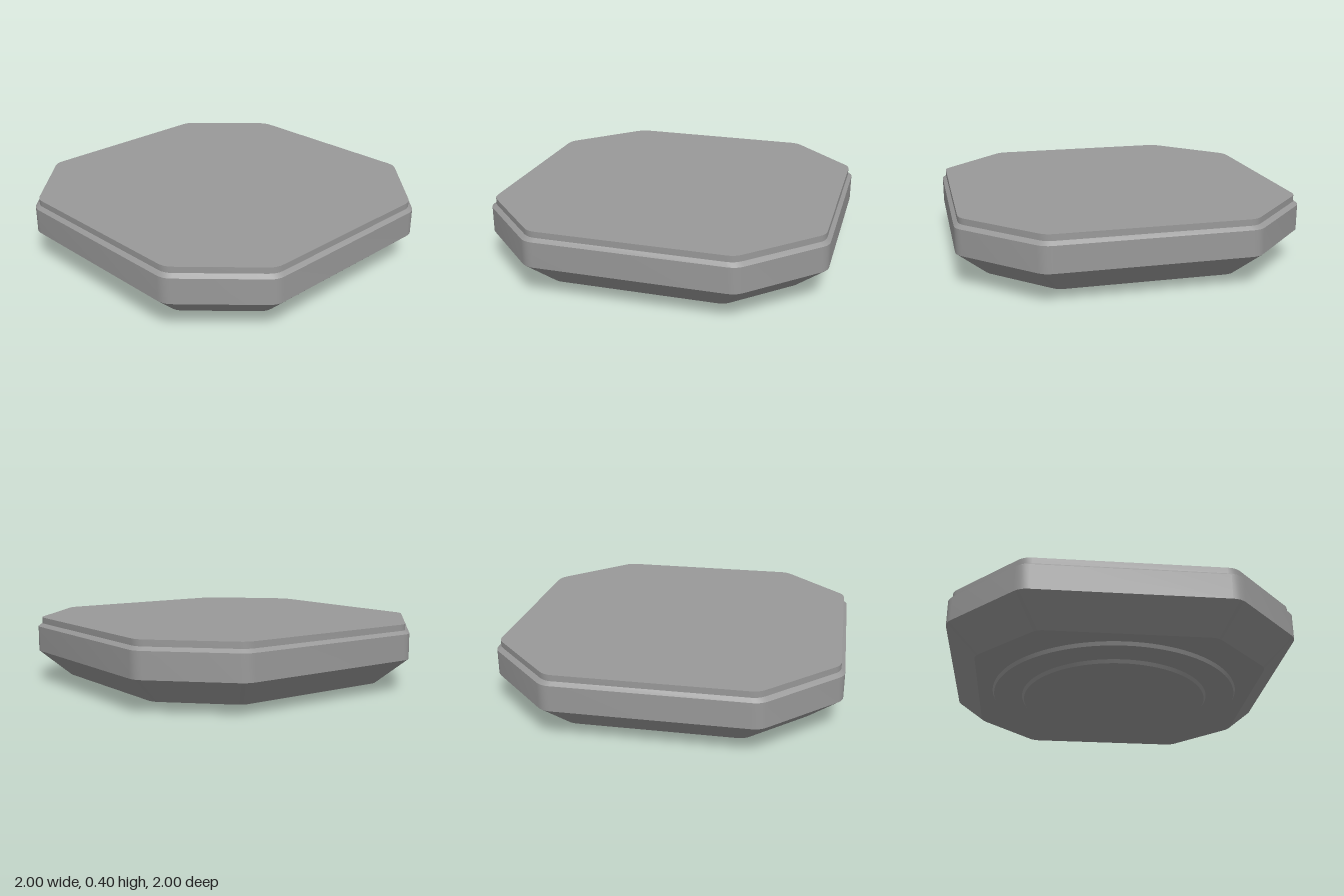
import * as THREE from 'three';
import { toCreasedNormals } from 'three/addons/utils/BufferGeometryUtils.js';

// Octagon outline in x/z with softly rounded corners
function outline(cut = 0.585, round = 0.045, steps = 4) {
  const corners = [[1, -cut], [1, cut], [cut, 1], [-cut, 1], [-1, cut], [-1, -cut], [-cut, -1], [cut, -1]]
    .map(([x, z]) => new THREE.Vector2(x, z));
  const points = [];
  corners.forEach((c, i) => {
    const toward = (o) => c.clone().add(o.clone().sub(c).setLength(round));
    const before = toward(corners[(i + 7) % 8]);
    const after = toward(corners[(i + 1) % 8]);
    points.push(...new THREE.QuadraticBezierCurve(before, c, after).getPoints(steps));
  });
  return points;
}

// Loft the outline through [scale, height] steps; scale 0 closes an end
function loft(profile) {
  const ring = outline();
  const pos = [];
  const put = (p, [s, y]) => pos.push(p.x * s, y, p.y * s);
  for (let k = 0; k < profile.length - 1; k++) {
    const lo = profile[k], hi = profile[k + 1];
    ring.forEach((a, i) => {
      const b = ring[(i + 1) % ring.length];
      if (hi[0] > 0) { put(a, lo); put(a, hi); put(b, hi); }
      if (lo[0] > 0) { put(a, lo); put(b, hi); put(b, lo); }
    });
  }
  const geo = new THREE.BufferGeometry();
  geo.setAttribute('position', new THREE.Float32BufferAttribute(pos, 3));
  return toCreasedNormals(geo, 0.4);
}

export function createModel() {
  const group = new THREE.Group();
  const material = new THREE.MeshStandardMaterial({ color: 0x999999 });
  const add = (name, geometry, y = 0) => {
    const mesh = new THREE.Mesh(geometry, material);
    mesh.name = name;
    mesh.position.y = y;
    group.add(mesh);
  };

  // Body: tapered underside, upright rim, bevel and raised top plate
  add('body', loft([
    [0, 0.04], [0.835, 0.04], [1, 0.192], [1, 0.342], [0.978, 0.361],
    [0.978, 0.397], [0, 0.397],
  ]));

  // Two stepped round discs underneath
  add('outerFootDisc', new THREE.CylinderGeometry(0.748, 0.738, 0.021, 96), 0.0295);
  add('innerFootDisc', new THREE.CylinderGeometry(0.568, 0.555, 0.019, 96), 0.0095);
  return group;
}
